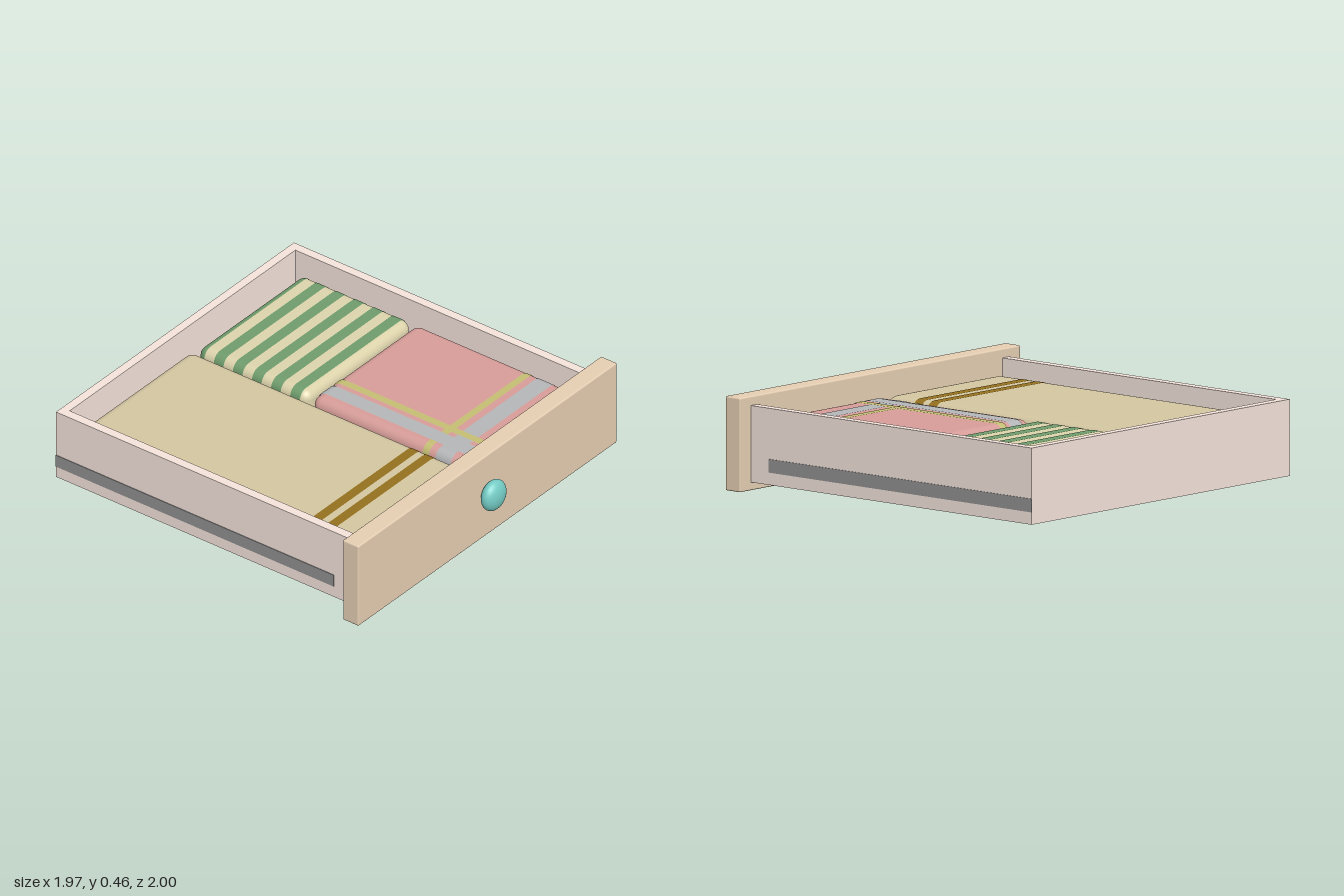
import * as THREE from 'three';
import { RoundedBoxGeometry } from 'three/addons/geometries/RoundedBoxGeometry.js';

const material = (color) => new THREE.MeshStandardMaterial({ color });

// Box given by its min and max corners; radius > 0 rounds the edges
function block(name, min, max, color, radius = 0) {
  const size = max.map((v, i) => v - min[i]);
  const geo = radius ? new RoundedBoxGeometry(...size, 4, radius) : new THREE.BoxGeometry(...size);
  geo.translate(...max.map((v, i) => (v + min[i]) / 2));
  const mesh = new THREE.Mesh(geo, material(color));
  mesh.name = name;
  return mesh;
}

// Folded cloth with stripes; each stripe is a slightly larger copy clamped to a slice
function foldedCloth(name, min, max, color, stripes) {
  const group = new THREE.Group();
  group.name = name;
  group.add(block(name + 'Body', min, max, color, 0.05));
  stripes.forEach(({ axis, from, to, color: stripeColor, layer = 1 }) => {
    const grow = 0.0015 * layer;
    const stripe = block(name + 'Stripe', min.map((v) => v - grow), max.map((v) => v + grow), stripeColor, 0.05);
    const pos = stripe.geometry.attributes.position;
    const i = axis === 'x' ? 0 : 2;
    for (let k = 0; k < pos.count; k++) {
      pos.setComponent(k, i, THREE.MathUtils.clamp(pos.getComponent(k, i), from, to));
    }
    group.add(stripe);
  });
  return group;
}

export function createModel() {
  const model = new THREE.Group();
  model.name = 'drawer';
  const wall = 0xf3e2da, cream = 0xdcd3ab, green = 0x6f9c6c;
  const yellow = 0xc4bd74, grey = 0xb4b5b7, brown = 0x94701e;

  // Tray: floor, back wall and two side walls, closed at the front by the panel
  const tray = new THREE.Group();
  tray.name = 'tray';
  tray.add(block('floor', [-0.94, 0.04, -0.875], [0.81, 0.08, 0.87], wall));
  tray.add(block('backWall', [-0.985, 0.04, -0.875], [-0.94, 0.41, 0.87], wall));
  tray.add(block('sideWall', [-0.985, 0.04, -0.922], [0.81, 0.41, -0.875], wall));
  tray.add(block('sideWall', [-0.985, 0.04, 0.87], [0.81, 0.41, 0.918], wall));
  model.add(tray);

  // Runner strips on both sides
  for (const z of [-0.922, 0.918]) {
    model.add(block('runner', [-0.985, 0.1, z - 0.003], [0.69, 0.165, z + 0.003], 0x8f8f8f));
  }

  // Front panel and knob
  model.add(block('frontPanel', [0.805, 0, -1], [0.9, 0.455, 1], 0xe4cdb1, 0.008));
  const knob = new THREE.Mesh(new THREE.SphereGeometry(0.08, 32, 20), material(0x74cbc4));
  knob.name = 'knob';
  knob.scale.x = 0.58;
  knob.position.set(0.936, 0.24, 0);
  model.add(knob);

  // Green striped cloth
  const greenStripes = [];
  for (let i = 0; i < 6; i++) {
    const from = -0.872 + i * 0.115;
    greenStripes.push({ axis: 'x', from, to: from + 0.057, color: green });
  }
  model.add(foldedCloth('stripedCloth', [-0.86, 0.08, -0.83], [-0.197, 0.34, -0.01], cream, greenStripes));

  // Pink checked cloth
  model.add(foldedCloth('checkedCloth', [-0.175, 0.08, -0.83], [0.79, 0.34, -0.01], 0xd69c98, [
    { axis: 'x', from: 0.5, to: 0.537, color: yellow },
    { axis: 'x', from: 0.577, to: 0.667, color: grey },
    { axis: 'z', from: -0.222, to: -0.185, color: yellow, layer: 2 },
    { axis: 'z', from: -0.153, to: -0.075, color: grey, layer: 2 },
  ]));

  // Large beige cloth
  model.add(foldedCloth('beigeCloth', [-0.88, 0.08, 0.012], [0.79, 0.34, 0.83], 0xd2c5a0, [
    { axis: 'x', from: 0.466, to: 0.516, color: brown },
    { axis: 'x', from: 0.556, to: 0.606, color: brown },
  ]));

  return model;
}
